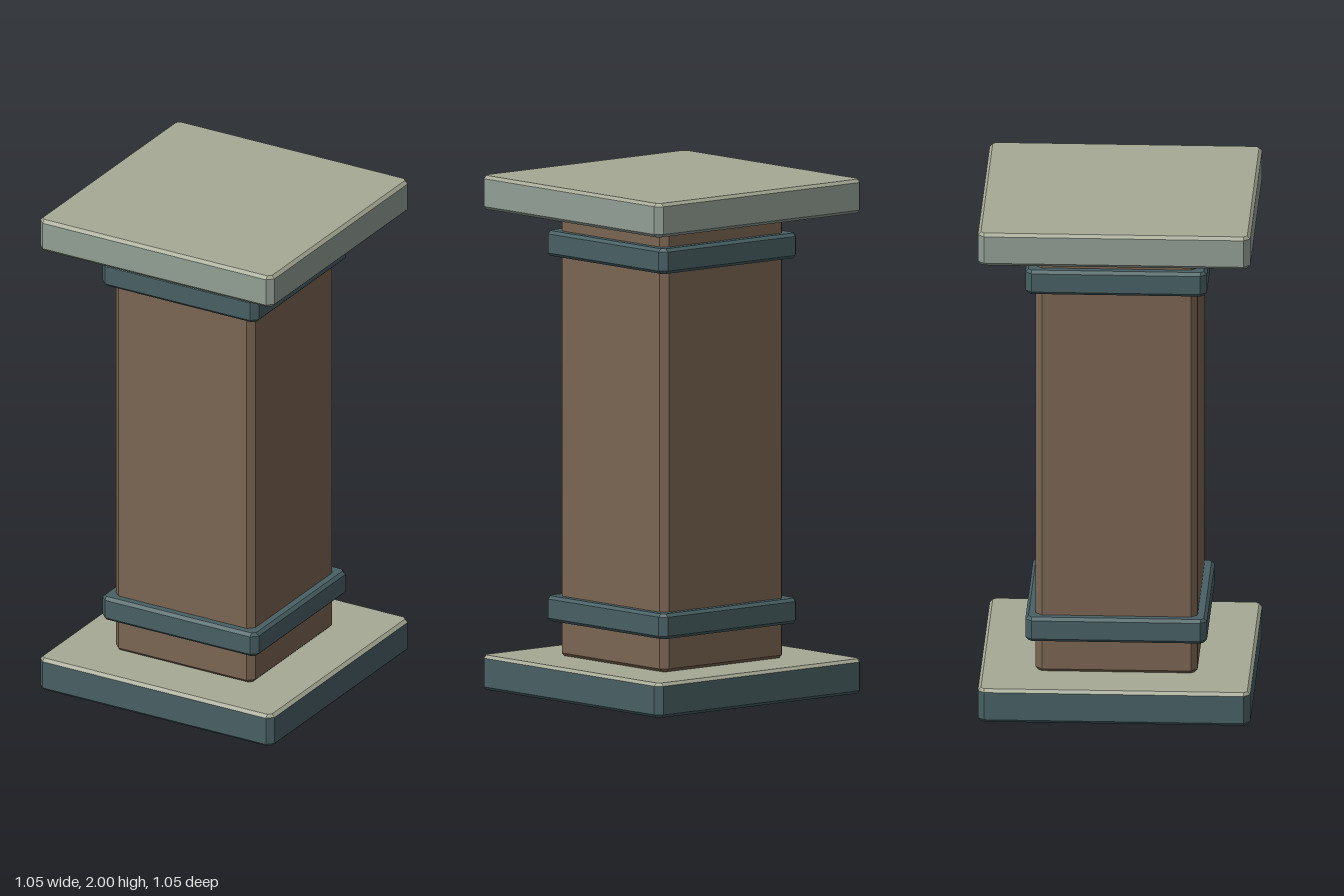
import * as THREE from 'three';

const BEVEL = 0.012;   // bevel along horizontal edges
const CORNER = 0.025;  // cut on vertical corners

const material = color => new THREE.MeshStandardMaterial({ color, flatShading: true });
const wood = material(0x7a6552);
const metal = material(0x486064);
const paleStone = material(0x929f95);
const warmStone = material(0xa6a995);

// Eight-sided rings [y, half width] joined into a chamfered square block
function chamferedBlock(name, mat, half, rings, capBottom = true, capTop = true) {
  const e = half - CORNER;
  const loops = rings.map(([y, h]) =>
    [[h, e], [e, h], [-e, h], [-h, e], [-h, -e], [-e, -h], [e, -h], [h, -e]]
      .map(([x, z]) => [x, y, z]));
  const positions = [];
  const tri = (a, b, c) => positions.push(...a, ...b, ...c);
  const last = loops.length - 1;
  for (let i = 0; i < 8; i++) {
    const j = (i + 1) % 8;
    for (let k = 0; k < last; k++) {
      const lower = loops[k], upper = loops[k + 1];
      tri(lower[i], upper[i], upper[j]);
      tri(lower[i], upper[j], lower[j]);
    }
    if (capBottom) tri([0, rings[0][0], 0], loops[0][i], loops[0][j]);
    if (capTop) tri([0, rings[last][0], 0], loops[last][j], loops[last][i]);
  }
  const geometry = new THREE.BufferGeometry();
  geometry.setAttribute('position', new THREE.Float32BufferAttribute(positions, 3));
  geometry.computeVertexNormals();
  const mesh = new THREE.Mesh(geometry, mat);
  mesh.name = name;
  return mesh;
}

// Block bevelled at both ends
function block(name, mat, half, y0, y1) {
  const inner = half - BEVEL;
  return chamferedBlock(name, mat, half,
    [[y0, inner], [y0 + BEVEL, half], [y1 - BEVEL, half], [y1, inner]]);
}

// Square slab whose top face and upper bevel are warm stone
function slab(name, sideMat, half, y0, y1) {
  const group = new THREE.Group();
  group.name = name;
  const inner = half - BEVEL;
  group.add(
    chamferedBlock(name + 'Body', sideMat, half,
      [[y0, inner], [y0 + BEVEL, half], [y1 - BEVEL, half]], true, false),
    chamferedBlock(name + 'TopFace', warmStone, half,
      [[y1 - BEVEL, half], [y1, inner]], false, true));
  return group;
}

export function createModel() {
  const pillar = new THREE.Group();
  pillar.name = 'pillar';
  pillar.add(
    slab('base', metal, 0.525, 0, 0.135),
    block('shaft', wood, 0.312, 0.135, 1.868),
    block('lowerBand', metal, 0.35, 0.27, 0.368),
    block('upperBand', metal, 0.35, 1.69, 1.788),
    slab('capital', paleStone, 0.525, 1.868, 2));
  return pillar;
}
